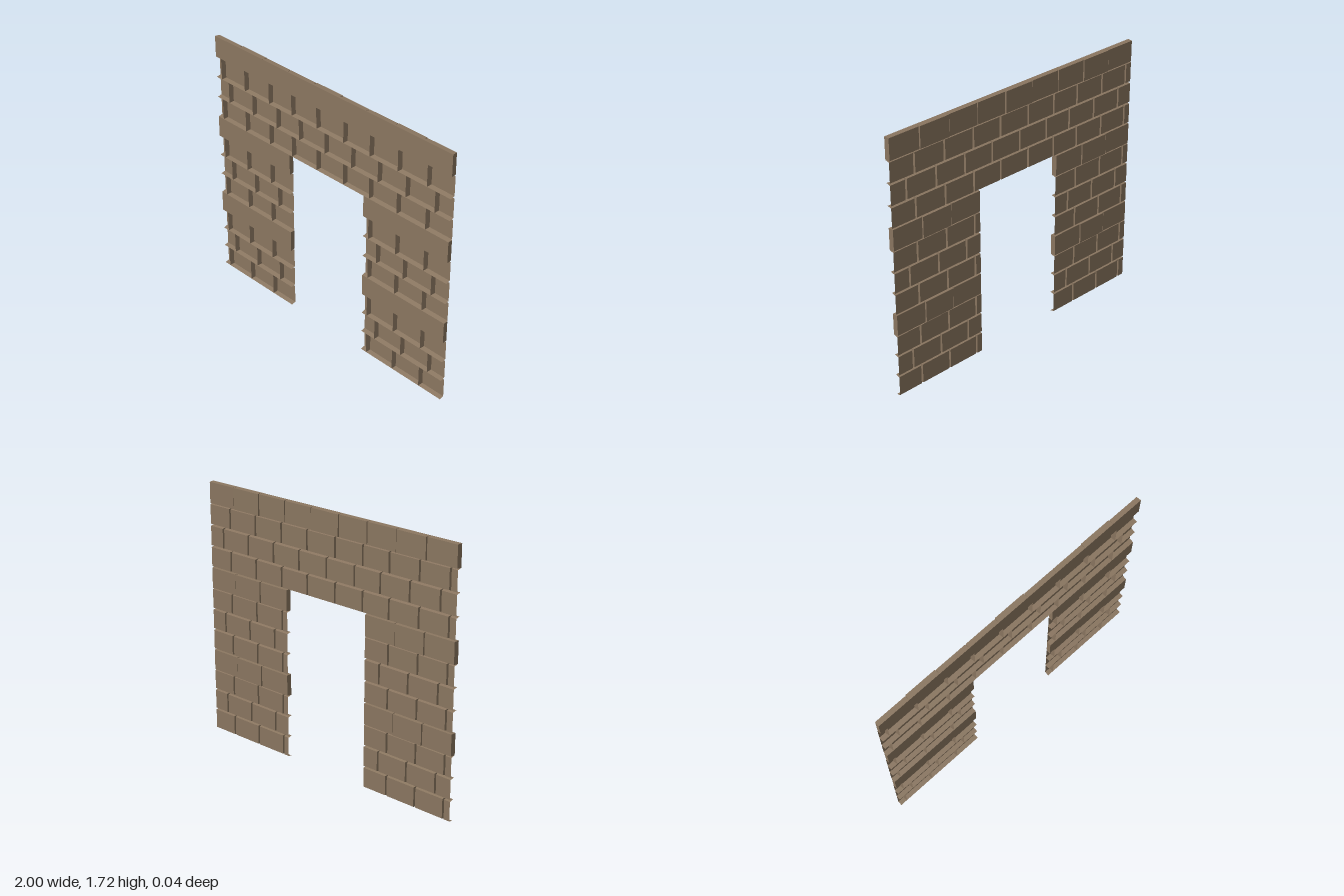
import * as THREE from 'three';

const ROW = 0.1435, FRONT = 0.017, BACK = -0.013, SLOPE = 0.007, DOOR = 0.323;
const JOINTS_A = [-0.95, -0.73, -0.505, -0.3, -0.08, 0.15, 0.368, 0.593, 0.82];
const JOINTS_B = [-0.885, -0.66, -0.437, -0.235, -0.01, 0.218, 0.437, 0.66, 0.885];

// Flat-shaded quads: every entry is four corners, counter-clockwise from outside
function quadGeometry(quads) {
  const positions = [];
  for (const [a, b, c, d] of quads) positions.push(...a, ...b, ...c, ...a, ...c, ...d);
  const geometry = new THREE.BufferGeometry();
  geometry.setAttribute('position', new THREE.Float32BufferAttribute(positions, 3));
  geometry.computeVertexNormals();
  return geometry;
}

// Corners of a rectangle in a plane of constant z
const rect = (x0, x1, y0, y1, z) => [[x0, y0, z], [x1, y0, z], [x1, y1, z], [x0, y1, z]];

// Side walls joining a front rectangle to a back rectangle
function walls(front, back, keep) {
  const quads = [];
  for (let i = 0; i < 4; i++) {
    const j = (i + 1) % 4;
    if (keep[i]) quads.push([front[j], front[i], back[i], back[j]]);
  }
  return quads;
}

// Hollow brick, its face to the back and its sloping sides meeting at the joints
function brickQuads(x0, x1, y0, y1, openLeft, openRight) {
  const front = rect(x0, x1, y0, y1, FRONT);
  const back = rect(
    x0 + (openLeft ? 0 : SLOPE), x1 - (openRight ? 0 : SLOPE),
    y0 + SLOPE, y1 - SLOPE, BACK);
  return [[back[3], back[2], back[1], back[0]],
    ...walls(front, back, [true, !openRight, true, !openLeft])];
}

// Solid slab of a projecting course, chamfered slightly at the back
function slabQuads(x0, x1, y0, y1, z) {
  const front = rect(x0, x1, y0, y1, FRONT);
  const back = rect(x0 + 0.003, x1 - 0.003, y0 + 0.002, y1 - 0.002, z);
  return [front, [back[3], back[2], back[1], back[0]],
    ...walls(front, back, [true, true, true, true])];
}

export function createModel() {
  const group = new THREE.Group();
  const stone = new THREE.MeshStandardMaterial({ color: 0x8a7660, side: THREE.DoubleSide });
  stone.name = 'brown stone';

  for (let row = 0; row < 12; row++) {
    const y0 = row * ROW, y1 = y0 + ROW;
    const isBand = row % 4 === 3;
    const spans = row < 8 ? [[-1, -DOOR], [DOOR, 1]] : [[-1, 1]];
    const joints = isBand
      ? Array.from({ length: 8 }, (_, i) => -1 + (i + 1) * 2 / 9)
      : row % 4 === 1 ? JOINTS_B : JOINTS_A;
    const quads = [];

    for (const [start, end] of spans) {
      // Skip slivers of slab beside the doorway
      const inside = joints.filter((x) => x > start + 0.02 && x < end - 0.02);
      const edges = [start, ...inside, end];
      for (let i = 0; i < edges.length - 1; i++) {
        const x0 = edges[i], x1 = edges[i + 1];
        if (isBand) {
          // Every third slab stands out a little further
          const index = Math.floor(((x0 + x1) / 2 + 1) * 4.5);
          quads.push(...slabQuads(x0, x1, y0, y1, index % 3 === 1 ? -0.02 : -0.016));
        } else {
          quads.push(...brickQuads(x0, x1, y0, y1, i === 0, i === edges.length - 2));
        }
      }
    }

    const course = new THREE.Mesh(quadGeometry(quads), stone);
    course.name = (isBand ? 'slabCourse' : 'brickCourse') + (row + 1);
    group.add(course);
  }
  return group;
}
